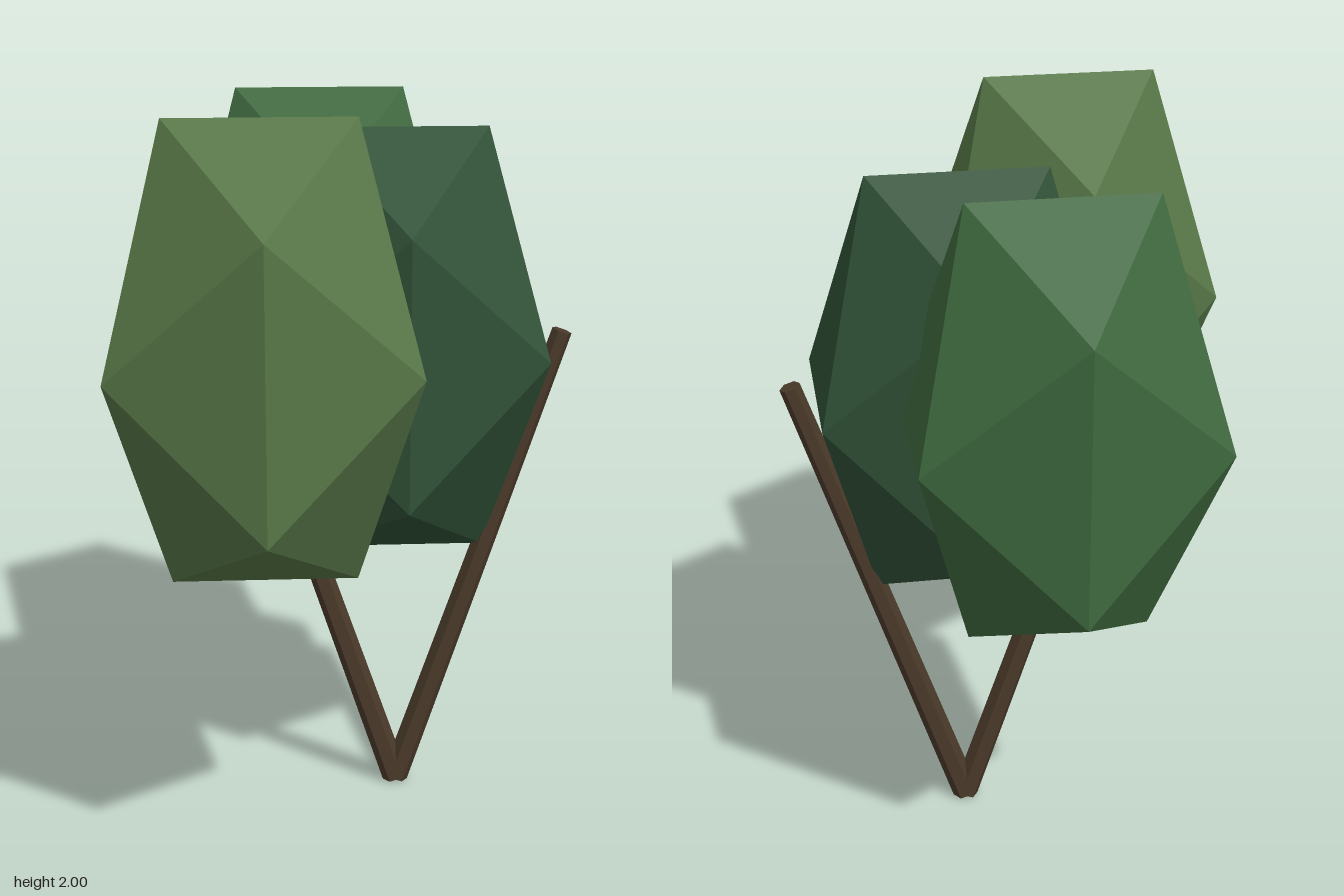
import * as THREE from 'three';

const material = (color) => new THREE.MeshStandardMaterial({ color, flatShading: true });

// Crown: a low-poly ball stretched upwards
function crown(name, color, x, y, z) {
  const mesh = new THREE.Mesh(new THREE.IcosahedronGeometry(0.447, 0), material(color));
  mesh.name = name;
  mesh.scale.y = 1.538;
  mesh.position.set(x, y, z);
  return mesh;
}

// Trunk: a slim tapered hexagonal pole between two points
function trunk(name, mat, from, to) {
  const direction = to.clone().sub(from);
  const geometry = new THREE.CylinderGeometry(0.028, 0.037, direction.length(), 6);
  geometry.rotateY(Math.PI / 6);
  const mesh = new THREE.Mesh(geometry, mat);
  mesh.name = name;
  mesh.position.copy(from).add(to).multiplyScalar(0.5);
  mesh.quaternion.setFromUnitVectors(new THREE.Vector3(0, 1, 0), direction.normalize());
  return mesh;
}

export function createModel() {
  const group = new THREE.Group();
  group.name = 'tree';

  // Two trunks spreading from a shared foot
  const bark = material(0x4a3a2a);
  const foot = new THREE.Vector3(0.14, 0.012, -0.05);
  for (const side of [-1, 1]) {
    const tip = new THREE.Vector3(foot.x + side * 0.446, 1.345, foot.z);
    group.add(trunk(side > 0 ? 'leftTrunk' : 'rightTrunk', bark, foot, tip));
  }

  // Three overlapping crowns
  group.add(
    crown('frontCrown', 0x567546, -0.235, 1.415, 0.44),
    crown('middleCrown', 0x2f5036, 0.14, 1.317, -0.05),
    crown('backCrown', 0x3e683e, -0.055, 1.37, -0.443),
  );
  return group;
}
